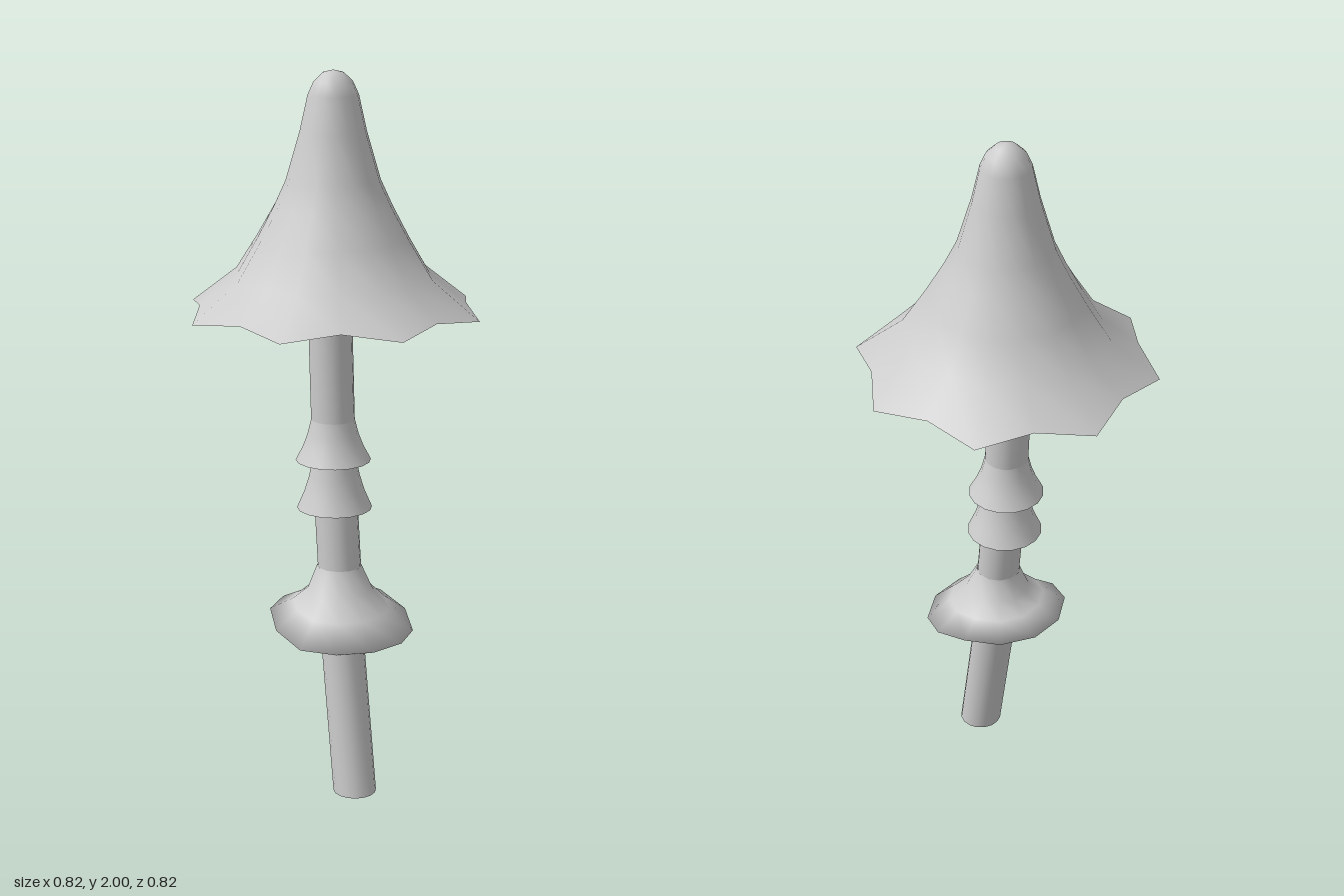
import * as THREE from 'three';
import { mergeVertices } from 'three/addons/utils/BufferGeometryUtils.js';

const material = new THREE.MeshStandardMaterial({ color: 0xcccccc, side: THREE.DoubleSide });

// Centre line of the bent stem: z offset at height y
const spine = [[0, 0.14], [0.41, 0.063], [0.64, 0.04], [0.8, 0.02], [1.05, -0.002], [1.35, -0.02], [1.65, -0.025]];
function spineZ(y) {
  for (let i = 1; i < spine.length; i++) {
    const [y0, z0] = spine[i - 1], [y1, z1] = spine[i];
    if (y <= y1) return z0 + (z1 - z0) * (y - y0) / (y1 - y0);
  }
  return spine[spine.length - 1][1];
}

// Turned part whose vertices are then moved by a rule, with smooth normals
function turned(name, profile, sides, rule) {
  const lathe = new THREE.LatheGeometry(profile.map(([r, y]) => new THREE.Vector2(r, y)), sides);
  lathe.deleteAttribute('uv');
  lathe.deleteAttribute('normal');
  const p = lathe.attributes.position, v = new THREE.Vector3();
  for (let i = 0; i < p.count; i++) {
    v.fromBufferAttribute(p, i);
    rule(v, Math.atan2(v.x, v.z), Math.hypot(v.x, v.z));
    p.setXYZ(i, v.x, v.y, v.z);
  }
  const geometry = mergeVertices(lathe, 1e-5);
  geometry.computeVertexNormals();
  const mesh = new THREE.Mesh(geometry, material);
  mesh.name = name;
  return mesh;
}

export function createModel() {
  const group = new THREE.Group();
  group.name = 'mushroom';

  // Open, bent tube
  group.add(turned('stem', spine.map(([, ], i) => [0.06, spine[i][0]]), 16, v => { v.z += spineZ(v.y); }));

  // Pleated cap: eight drooping points, with raised valleys between them
  const capProfile = [[0.41, 1.355], [0.28, 1.455], [0.215, 1.555], [0.165, 1.64], [0.13, 1.71],
    [0.09, 1.84], [0.068, 1.935], [0.052, 1.97], [0.028, 1.993], [0, 2]];
  group.add(turned('cap', capProfile, 16, (v, a, r) => {
    const valley = (1 - Math.cos(8 * a)) / 2;
    const pleat = THREE.MathUtils.clamp((r - 0.06) / 0.2, 0, 1);
    const scale = 1 - valley * (0.07 * pleat + (r > 0.35 ? 0.052 : 0));
    v.x *= scale;
    v.z *= scale;
    if (r > 0.35) v.y += 0.018 * valley;
  }));

  // Two flared skirts around the stem
  [['upperSkirt', 0.935, 1.05, 0], ['lowerSkirt', 0.8, 0.94, 0.008]].forEach(([name, low, high, z]) => {
    const h = high - low;
    const profile = [[0.104, low], [0.083, low + h * 0.35], [0.07, low + h * 0.65], [0.06, high]];
    group.add(turned(name, profile, 16, v => { v.z += z + (spineZ(high) - z) * (v.y - low) / h; }));
  });

  // Flared collar with a rim that dips at the front and a shallow dish beneath
  const collar = [[0.06, 0.412], [0.09, 0.414], [0.2, 0.482], [0.135, 0.53], [0.09, 0.575], [0.062, 0.64]];
  group.add(turned('collar', collar, 12, (v, a, r) => {
    const dip = THREE.MathUtils.clamp((r - 0.09) / 0.11, 0, 1);
    v.y -= 0.027 * dip * THREE.MathUtils.clamp(Math.cos(a) * 2, -1, 1);
    v.z += THREE.MathUtils.lerp(spineZ(v.y), 0.053, dip);
  }));

  return group;
}
